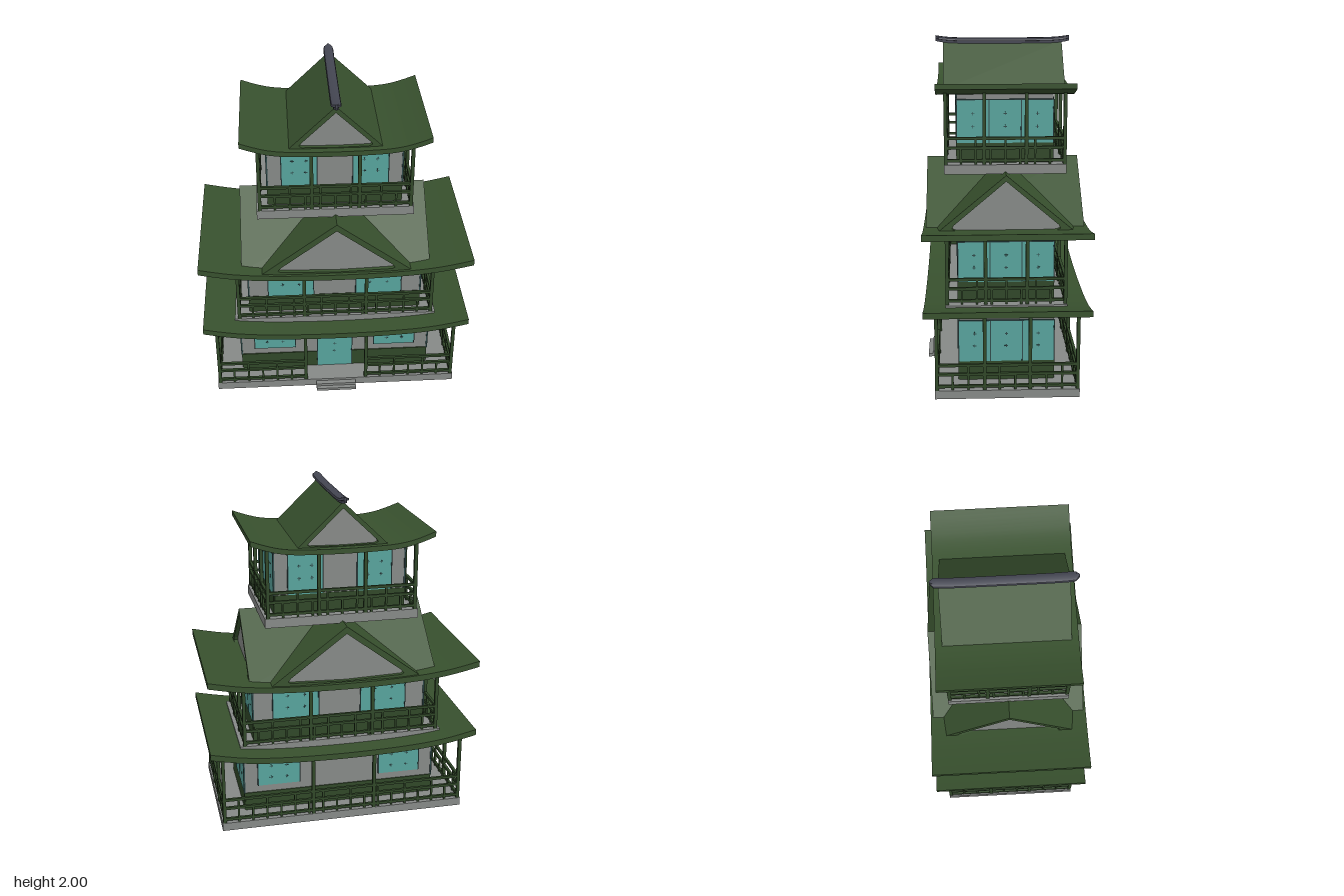
import * as THREE from 'three';
import { toCreasedNormals } from 'three/addons/utils/BufferGeometryUtils.js';

const mat = (name, color) => Object.assign(new THREE.MeshStandardMaterial({ color }), { name });

export function createModel() {
  const green = mat('roof green', 0x38512e);
  const timber = mat('timber green', 0x304728);
  const stone = mat('stone grey', 0x868987);
  const teal = mat('shutter teal', 0x57a39c);
  const slate = mat('ridge slate', 0x444652);
  const iron = mat('dark iron', 0x2f4a4a);

  const model = new THREE.Group();
  model.name = 'pagoda';

  const add = (parent, name, geometry, material) => {
    const mesh = new THREE.Mesh(geometry, material);
    mesh.name = name;
    parent.add(mesh);
    return mesh;
  };
  // box given by its min and max on each axis
  const box = (parent, name, material, x0, x1, y0, y1, z0, z1) => {
    const mesh = add(parent, name, new THREE.BoxGeometry(x1 - x0, y1 - y0, z1 - z0), material);
    mesh.position.set((x0 + x1) / 2, (y0 + y1) / 2, (z0 + z1) / 2);
    return mesh;
  };
  const group = (parent, name) => {
    const g = new THREE.Group();
    g.name = name;
    parent.add(g);
    return g;
  };
  const shapeOf = pts => new THREE.Shape(pts.map(p => new THREE.Vector2(p[0], p[1])));
  // shape extruded along z and centred on it
  const prism = (shape, length, steps = 1) =>
    new THREE.ExtrudeGeometry(shape, { depth: length, steps, bevelEnabled: false }).translate(0, 0, -length / 2);

  // roof slab that sweeps up at both ends, from half of its top profile
  function sweptRoof(name, half, thick, length) {
    const pts = [...half.slice(1).reverse().map(([x, y]) => [-x, y]), ...half];
    const top = new THREE.SplineCurve(pts.map(p => new THREE.Vector2(...p))).getPoints(32);
    const outline = [...top.map(p => [p.x, p.y - thick]), ...top.reverse().map(p => [p.x, p.y])];
    add(model, name, toCreasedNormals(prism(shapeOf(outline), length), 0.5), green);
  }

  // hollow gable with a recessed grey panel at each end
  function gable(name, w, y0, y1, length, inner, turned) {
    const g = group(model, name);
    const mirrored = [...inner, ...inner.filter(p => p[0] > 0).reverse().map(([x, y]) => [-x, y])];
    const rim = shapeOf([[-w, y0], [w, y0], [0, y1]]);
    rim.holes.push(new THREE.Path(mirrored.map(p => new THREE.Vector2(...p))));
    add(g, 'gableRoof', prism(rim, length), green);
    add(g, 'gablePanel', prism(shapeOf(mirrored), length - 0.05), stone);
    if (turned) g.rotation.y = Math.PI / 2;
  }

  // framed shutter in the xy plane, centred on x, with rows of studs
  function shutter(parent, name, x, y0, y1, w, cols, rows) {
    const g = group(parent, name);
    g.position.x = x;
    box(g, 'shutterPanel', teal, -w / 2, w / 2, y0, y1, 0, 0.008);
    for (const s of [-1, 1]) {
      box(g, 'frameSide', iron, s * w / 2 - 0.003, s * w / 2 + 0.003, y0, y1, 0, 0.0095);
    }
    box(g, 'frameTop', iron, -w / 2, w / 2, y1 - 0.003, y1 + 0.003, 0, 0.0095);
    for (let c = 0; c < cols; c++) {
      const cx = ((c + 0.5) / cols - 0.5) * w * 0.75;
      for (const cy of rows) {
        box(g, 'studAcross', iron, cx - 0.01, cx + 0.01, cy - 0.002, cy + 0.002, 0.007, 0.0095);
        box(g, 'studUpright', iron, cx - 0.002, cx + 0.002, cy - 0.01, cy + 0.01, 0.007, 0.0095);
      }
    }
  }

  // straight run of balustrade along x from a to b, standing on y
  function railing(parent, a, b, y) {
    const g = group(parent, 'railing');
    for (const h of [0.022, 0.095, 0.15]) {
      box(g, 'rail', timber, a, b, y + h - 0.008, y + h + 0.008, -0.008, 0.008);
    }
    const n = Math.max(2, Math.round((b - a) / 0.085));
    for (let i = 0; i <= n; i++) {
      const x = a + (b - a) * i / n;
      const top = i % 2 ? 0.095 : 0.15;
      box(g, 'baluster', timber, x - 0.006, x + 0.006, y, y + top, -0.006, 0.006);
    }
    return g;
  }

  // one storey: slab, walls, wainscot, shutters, posts and balustrade
  function storey(o) {
    const g = group(model, o.name);
    const y = o.floor;
    box(g, 'floorSlab', stone, -o.slab[0], o.slab[0], o.slab[1], y, -o.slab[2], o.slab[2]);
    box(g, 'walls', stone, -o.wall, o.wall, y, o.top, -0.275, 0.275);
    for (const [turn, dist, half] of [[0, 0.275, o.wall], [1, o.wall, 0.275], [2, 0.275, o.wall], [3, o.wall, 0.275]]) {
      const face = group(g, ['frontWall', 'leftWall', 'backWall', 'rightWall'][turn]);
      face.rotation.y = turn * Math.PI / 2;
      face.position.set([0, dist, 0, -dist][turn], 0, [dist, 0, -dist, 0][turn]);
      const rows = [o.win[1] - 0.08, o.win[1] - 0.155];
      box(face, 'wainscot', timber, -half, half, y, y + 0.115, 0, 0.006);
      if (turn % 2) {
        for (const x of [-0.185, 0, 0.185]) shutter(face, 'sideShutter', x, y + 0.115, o.win[1], 0.185, 1, rows);
      } else {
        for (const s of [-1, 1]) shutter(face, 'window', s * o.winX, o.win[0], o.win[1], o.winW, 2, rows);
        if (o.door && turn === 0) shutter(face, 'door', 0, y, o.win[1], 0.22, 1, [0.34, 0.285, 0.23, 0.17]);
      }
    }
    // posts round the veranda
    const [px, pz] = o.post;
    const spots = [];
    for (const s of [-1, 1]) {
      for (const x of [-px, -o.inner, o.inner, px]) spots.push([x, s * pz]);
      for (const z of [-o.innerZ, o.innerZ]) spots.push([s * px, z]);
    }
    for (const [x, z] of spots) {
      box(g, 'post', timber, x - 0.01, x + 0.01, y, o.postTop(x), z - 0.01, z + 0.01);
    }
    // balustrades
    if (o.door) {
      railing(g, -px, -o.inner, y).position.z = pz;
      railing(g, o.inner, px, y).position.z = pz;
    } else railing(g, -px, px, y).position.z = pz;
    railing(g, -px, px, y).position.z = -pz;
    for (const s of [-1, 1]) {
      const r = railing(g, -pz, pz, y);
      r.rotation.y = Math.PI / 2;
      r.position.x = s * px;
    }
  }

  storey({
    name: 'groundStorey', floor: 0.05, top: 0.46, slab: [0.75, 0, 0.415], wall: 0.59, door: true,
    win: [0.21, 0.415], winX: 0.38, winW: 0.26, post: [0.735, 0.403], inner: 0.19, innerZ: 0.13,
    postTop: x => Math.abs(x) > 0.5 ? 0.5 : 0.45,
  });
  storey({
    name: 'middleStorey', floor: 0.515, top: 0.905, slab: [0.62, 0.46, 0.35], wall: 0.525,
    win: [0.63, 0.87], winX: 0.27, winW: 0.28, post: [0.592, 0.34], inner: 0.19, innerZ: 0.12,
    postTop: x => Math.abs(x) > 0.5 ? 0.92 : 0.9,
  });
  storey({
    name: 'topStorey', floor: 1.305, top: 1.7, slab: [0.455, 1.25, 0.35], wall: 0.385,
    win: [1.42, 1.67], winX: 0.205, winW: 0.205, post: [0.436, 0.34], inner: 0.137, innerZ: 0.12,
    postTop: x => Math.abs(x) > 0.4 ? 1.715 : 1.695,
  });

  // entrance steps
  box(model, 'lowerStep', stone, -0.125, 0.125, 0, 0.018, 0.4, 0.47);
  box(model, 'upperStep', stone, -0.125, 0.125, 0, 0.035, 0.4, 0.445);

  // eaves
  const wide = y => [[0, y], [0.25, y + 0.004], [0.45, y + 0.014], [0.6, y + 0.03], [0.71, y + 0.05], [0.81, y + 0.072]];
  sweptRoof('lowerRoof', wide(0.472), 0.036, 0.95);
  sweptRoof('middleRoof', wide(0.92), 0.036, 0.95);
  sweptRoof('topRoof', [[0, 1.708], [0.24, 1.713], [0.36, 1.725], [0.45, 1.748], [0.535, 1.778]], 0.03, 0.79);

  // gables
  gable('middleFrontGable', 0.45, 0.925, 1.265, 0.92,
    [[0, 1.222], [0.33, 0.972], [0.345, 0.952], [0.33, 0.943], [0, 0.932]], false);
  gable('middleSideGable', 0.405, 0.925, 1.265, 1.12,
    [[0, 1.23], [0.3, 0.975], [0.31, 0.955], [0.29, 0.945], [0, 0.935]], true);
  gable('topGable', 0.265, 1.71, 1.965, 0.71,
    [[0, 1.928], [0.195, 1.742], [0.205, 1.728], [0.19, 1.718], [0, 1.714]], false);

  // ridge cap: mushroom section, rising and rounding off at its ends
  const cap = shapeOf([[-0.016, 1.952], [0.016, 1.952], [0.016, 1.966], [0.03, 1.968], [0.026, 1.979],
    [0.012, 1.985], [-0.012, 1.985], [-0.026, 1.979], [-0.03, 1.968], [-0.016, 1.966]]);
  const ridge = prism(cap, 0.8, 40);
  const p = ridge.attributes.position;
  for (let i = 0; i < p.count; i++) {
    const t = Math.abs(p.getZ(i)) / 0.4;
    const end = Math.max(0, (t - 0.92) / 0.08);
    p.setX(i, p.getX(i) * Math.sqrt(Math.max(0.06, 1 - end * end)));
    p.setY(i, p.getY(i) + 0.015 * t ** 6);
  }
  add(model, 'ridgeCap', toCreasedNormals(ridge, 0.6), slate);

  return model;
}
